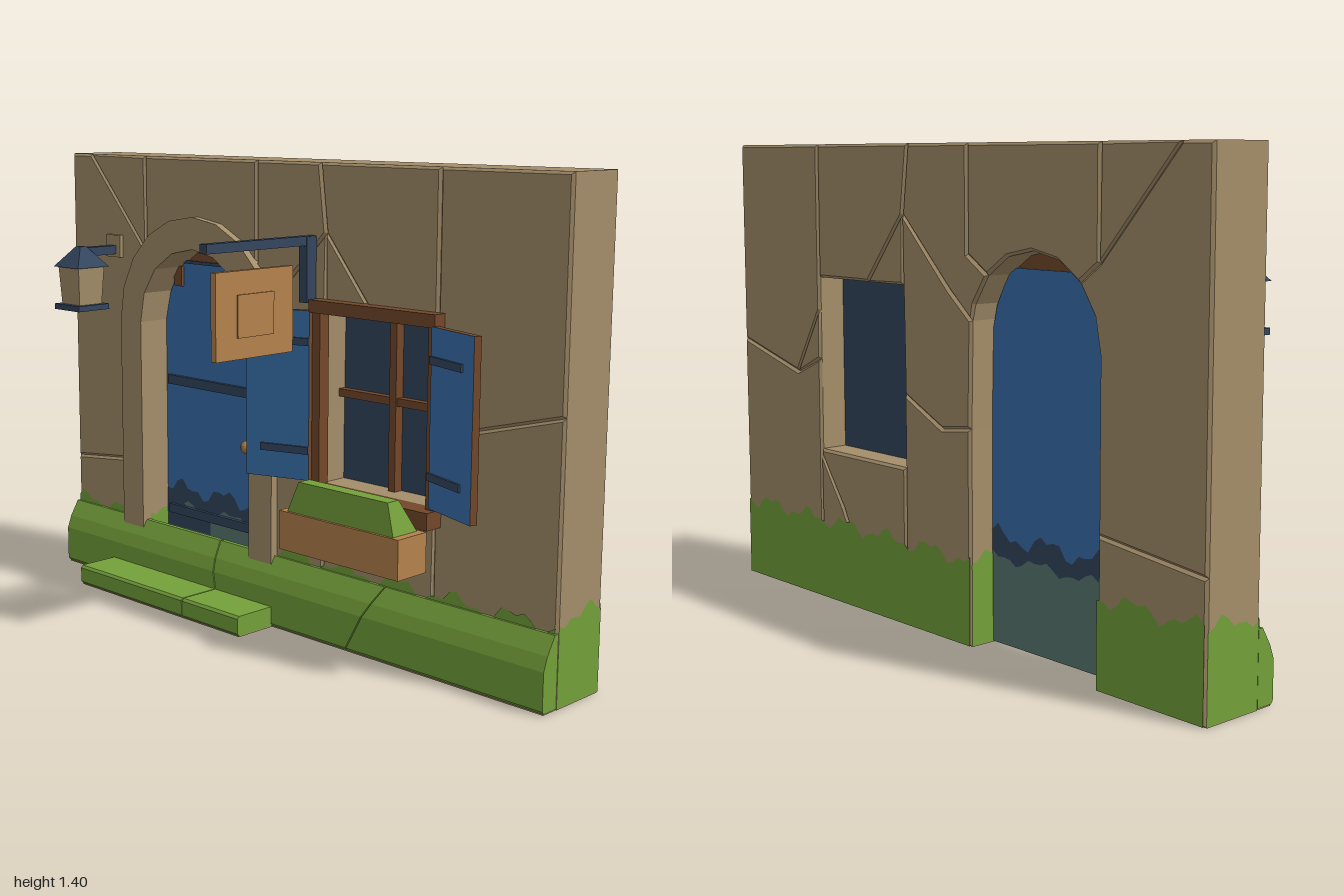
import * as THREE from 'three';

const mat = (name, color, extra = {}) => {
  const m = new THREE.MeshStandardMaterial({ color, flatShading: true, ...extra });
  m.name = name;
  return m;
};
const stone = mat('sandstone', 0xa48e6a);
const moss = mat('moss green', 0x74a03a, { side: THREE.DoubleSide });
const blue = mat('blue paint', 0x3870ac);
const navy = mat('dark iron', 0x34465f, { side: THREE.DoubleSide });
const brown = mat('dark wood', 0x74482a);
const timber = mat('light wood', 0xb5824d);
const teal = mat('faded teal', 0x587872, { side: THREE.DoubleSide });
const bronze = mat('bronze', 0xa9793f);

const DOOR_X = -0.38, SPRING = 0.87, R = 0.25;

const shapeOf = pts => new THREE.Shape(pts.map(p => new THREE.Vector2(p[0], p[1])));

// Points on a round arch over the door, from angle a0 to a1 in degrees
function arc(r, a0, a1, n) {
  return Array.from({ length: n + 1 }, (_, i) => {
    const a = (a0 + (a1 - a0) * i / n) * Math.PI / 180;
    return [DOOR_X + r * Math.cos(a), SPRING + r * Math.sin(a)];
  });
}

// Upright slab between two depths, optionally with chamfered edges
function slab(pts, z0, z1, b = 0) {
  const g = new THREE.ExtrudeGeometry(shapeOf(pts), {
    depth: z1 - z0 - 2 * b, bevelEnabled: b > 0, bevelSize: b,
    bevelThickness: b, bevelOffset: -b, bevelSegments: 1 });
  return g.translate(0, 0, z0 + b);
}

// Profile in (z, y) swept along x, each end leaning by its own slope
function sweepX(profile, x0, x1, k0 = 0, k1 = 0) {
  const g = new THREE.ExtrudeGeometry(shapeOf(profile), { depth: 1, bevelEnabled: false });
  const p = g.attributes.position;
  for (let i = 0; i < p.count; i++) {
    const z = p.getX(i), y = p.getY(i), t = 1 - p.getZ(i);
    p.setXYZ(i, (x0 + k0 * y) * (1 - t) + (x1 + k1 * y) * t, y, z);
  }
  g.computeVertexNormals();
  return g;
}

// Thin patch with a ragged upper edge and, if wanted, a ragged lower edge
function ragged(u0, u1, low, high, amp, lowAmp = 0) {
  const n = Math.max(4, Math.round((u1 - u0) / 0.025)), top = [], bottom = [];
  const wave = u => 0.6 * Math.sin(u * 31) + 0.4 * Math.sin(u * 77 + 1);
  for (let i = 0; i <= n; i++) {
    const u = u0 + (u1 - u0) * i / n;
    top.push([u, high + amp * wave(u)]);
    bottom.push([u, low + lowAmp * wave(u + 2)]);
  }
  return new THREE.ShapeGeometry(shapeOf([...bottom, ...top.reverse()]));
}

export function createModel() {
  const model = new THREE.Group();
  model.name = 'cottageWall';
  const add = (name, geo, material, parent = model) => {
    const m = new THREE.Mesh(geo, material);
    m.name = name;
    parent.add(m);
    return m;
  };
  const box = (name, x0, x1, y0, y1, z0, z1, material, parent = model) => {
    const g = new THREE.BoxGeometry(x1 - x0, y1 - y0, z1 - z0);
    g.translate((x0 + x1) / 2, (y0 + y1) / 2, (z0 + z1) / 2);
    return add(name, g, material, parent);
  };

  // Wall stones, their chamfers forming the joints and cracks
  const leftHaunch = arc(R, 180, 135, 2), rightHaunch = arc(R, 45, 0, 2);
  const stones = [
    [[-1, 0], [-0.63, 0], [-0.63, 0.41], [-1, 0.37]],
    [[-1, 0.37], [-0.63, 0.41], ...leftHaunch, [-0.63, 1.1], [-0.9, 1.4], [-1, 1.4]],
    [[-0.63, 1.1], [-0.63, 1.4], [-0.9, 1.4]],
    [[-0.63, 1.4], [-0.63, 1.1], ...arc(R, 135, 45, 4), [-0.12, 1.1], [-0.12, 1.4]],
    [[-0.13, 0], [0.16, 0], [0.16, 0.685], [-0.01, 0.605], [-0.13, 0.62]],
    [[-0.13, 0.62], [-0.01, 0.605], [0.16, 0.685], [0.165, 1.2], [-0.04, 1.0], [-0.137, 0.92]],
    [[-0.12, 1.4], [-0.12, 1.1], ...rightHaunch.slice(0, 2), [-0.137, 0.92], [-0.04, 1.0], [0.165, 1.2], [0.14, 1.4]],
    [[0.14, 1.4], [0.165, 1.2], [0.33, 1.0], [0.58, 1.0], [0.58, 1.4]],
    [[0.165, 1.2], [0.163, 1.0], [0.33, 1.0]],
    [[0.16, 0], [0.31, 0], [0.47, 0.3], [0.58, 0.45], [0.58, 0.47], [0.16, 0.47]],
    [[0.31, 0], [0.58, 0], [0.58, 0.45], [0.47, 0.3]],
    [[0.58, 0], [1, 0], [1, 0.78], [0.7, 0.7], [0.58, 0.75]],
    [[0.58, 0.75], [0.7, 0.7], [0.58, 0.9]],
    [[0.58, 0.9], [0.7, 0.7], [1, 0.78], [1, 1.4], [0.58, 1.4]],
  ];
  stones.forEach(pts => add('wallStone', slab(pts, -0.31, -0.11, 0.008), stone));

  // Moss creeping up the wall
  for (const [x0, x1] of [[-0.995, -0.63], [-0.13, 0.995]])
    add('backMoss', ragged(x0, x1, 0.003, 0.25, 0.03), moss).position.z = -0.312;
  for (const [x0, x1] of [[-0.995, -0.73], [-0.03, 0.995]])
    add('frontMoss', ragged(x0, x1, 0.1, 0.225, 0.03), moss).position.z = -0.107;
  for (const x of [-1.001, -0.628, -0.132, 1.001]) {
    const m = add('sideMoss', ragged(0.117, 0.305, 0.003, 0.245, 0.03), moss);
    m.rotation.y = Math.PI / 2;
    m.position.x = x;
  }

  // Sloped plinth and doorstep, split by leaning cracks
  const plinth = [[-0.115, 0.004], [-0.062, 0.004], [-0.055, 0.012], [-0.055, 0.12], [-0.07, 0.16], [-0.1, 0.21], [-0.115, 0.21]];
  [[-1, -0.242, 0, -0.15], [-0.238, 0.298, -0.15, 0.55], [0.302, 1, 0.55, 0]]
    .forEach(a => add('plinth', sweepX(plinth, ...a), moss));
  const step = [[-0.06, 0.004], [0.078, 0.004], [0.085, 0.011], [0.085, 0.057], [0.078, 0.065], [-0.06, 0.065]];
  [[-0.75, -0.252], [-0.248, 0]].forEach(a => add('doorstep', sweepX(step, ...a), moss));
  box('plinthUnderside', -0.998, 0.998, 0, 0.004, -0.115, -0.062, stone);
  box('doorstepUnderside', -0.748, -0.002, 0, 0.004, -0.06, 0.078, stone);

  // Arched stone door surround
  add('doorSurround', slab([[-0.73, 0.12], ...arc(0.35, 180, 0, 10), [-0.03, 0.12],
    [-0.13, 0.12], ...arc(R, 0, 180, 8), [-0.63, 0.12]], -0.12, -0.085), stone);

  // Door with worn paint on both faces
  const door = new THREE.Group();
  door.name = 'door';
  model.add(door);
  add('doorLeaf', slab([[-0.63, 0.27], [-0.13, 0.27], [-0.13, SPRING], [-0.152, 0.96],
    [-0.21, 1.065], [-0.55, 1.065], [-0.608, 0.96], [-0.63, SPRING]], -0.228, -0.195), blue, door);
  box('doorFoot', -0.63, -0.13, 0.004, 0.27, -0.228, -0.195, teal, door);
  add('doorHead', slab([...arc(R, 0, 180, 8)], -0.222, -0.202), brown, door);
  box('doorHeadTrim', -0.55, -0.21, 1.06, 1.07, -0.195, -0.188, navy, door);
  for (const s of [-1, 1])
    box('doorCorner', DOOR_X + s * 0.18 - 0.018, DOOR_X + s * 0.18 + 0.018, 0.985, 1.05, -0.195, -0.185, brown, door);
  for (const z of [-0.23, -0.193])
    add('wornPaint', ragged(-0.629, -0.131, 0.255, 0.315, 0.035, 0.02), navy, door).position.z = z;
  add('wornFoot', ragged(-0.629, -0.42, 0.18, 0.25, 0.02), navy, door).position.z = -0.192;
  for (const y of [0.66, 0.225])
    box('doorStrap', -0.61, -0.145, y, y + 0.03, -0.196, -0.182, navy, door);
  const knob = add('doorKnob', new THREE.SphereGeometry(0.021, 10, 8), bronze, door);
  knob.position.set(-0.23, 0.505, -0.175);

  // Window: recessed glass, glazing bars, outer frame and sill
  box('windowGlass', 0.155, 0.585, 0.465, 1.005, -0.22, -0.2, navy);
  box('verticalBar', 0.36, 0.385, 0.47, 1.0, -0.2, -0.17, brown);
  box('horizontalBar', 0.16, 0.58, 0.72, 0.743, -0.2, -0.175, brown);
  box('frameHead', 0.137, 0.605, 0.975, 1.012, -0.12, -0.068, brown);
  for (const x of [0.14, 0.572])
    box('frameSide', x, x + 0.03, 0.47, 0.975, -0.12, -0.082, brown);
  box('windowSill', 0.137, 0.605, 0.42, 0.47, -0.12, -0.05, brown);

  // Opened shutters with hinge straps
  for (const s of [-1, 1]) {
    const shutter = new THREE.Group();
    shutter.name = s > 0 ? 'leftShutter' : 'rightShutter';
    shutter.position.set(0.37 + s * 0.232, 0.73, -0.075);
    shutter.rotation.y = -0.32 * s;
    const leaf = new THREE.BoxGeometry(0.205, 0.5, 0.022).translate(s * 0.1, 0, 0);
    add('shutterLeaf', leaf, [brown, brown, brown, brown, blue, blue], shutter);
    for (const y of [0.16, -0.16])
      add('shutterHinge', new THREE.BoxGeometry(0.155, 0.022, 0.008).translate(s * 0.075, y, 0.014), navy, shutter);
    model.add(shutter);
  }

  // Flower box and clipped planting
  box('flowerBox', 0.147, 0.597, 0.3, 0.415, -0.06, 0.058, timber);
  const plant = new THREE.BoxGeometry(0.4, 0.09, 0.1);
  const pp = plant.attributes.position;
  for (let i = 0; i < pp.count; i++)
    if (pp.getY(i) > 0) pp.setXYZ(i, pp.getX(i) * 0.84, pp.getY(i), pp.getZ(i) * 0.45 + 0.015);
  plant.computeVertexNormals();
  add('planting', plant, moss).position.set(0.372, 0.459, 0);

  // Wall lantern
  const lantern = new THREE.Group();
  lantern.name = 'lantern';
  lantern.position.set(-0.78, 0, 0.035);
  model.add(lantern);
  const frustum = (name, top, bottom, y0, y1, m) => {
    const g = new THREE.CylinderGeometry(top * Math.SQRT2, bottom * Math.SQRT2, y1 - y0, 4).rotateY(Math.PI / 4);
    add(name, g.translate(0, (y0 + y1) / 2, 0), m, lantern);
  };
  frustum('lanternBase', 0.062, 0.062, 0.91, 0.928, navy);
  frustum('lanternBody', 0.052, 0.045, 0.928, 1.048, stone);
  frustum('lanternRoof', 0.012, 0.063, 1.048, 1.112, navy);
  box('lanternArm', -0.015, 0.015, 1.08, 1.108, -0.14, 0, navy, lantern);
  box('lanternPlate', -0.036, 0.036, 1.07, 1.142, -0.147, -0.132, stone, lantern);

  // Hanging sign and its iron bracket
  box('signBeam', 0.097, 0.125, 1.165, 1.192, -0.11, 0.315, navy);
  box('signMount', 0.095, 0.127, 1.0, 1.19, -0.112, -0.072, navy);
  box('signBoard', 0.102, 0.122, 0.865, 1.112, -0.02, 0.28, timber);
  box('signPanel', 0.097, 0.127, 0.925, 1.046, 0.06, 0.2, timber);

  return model;
}
